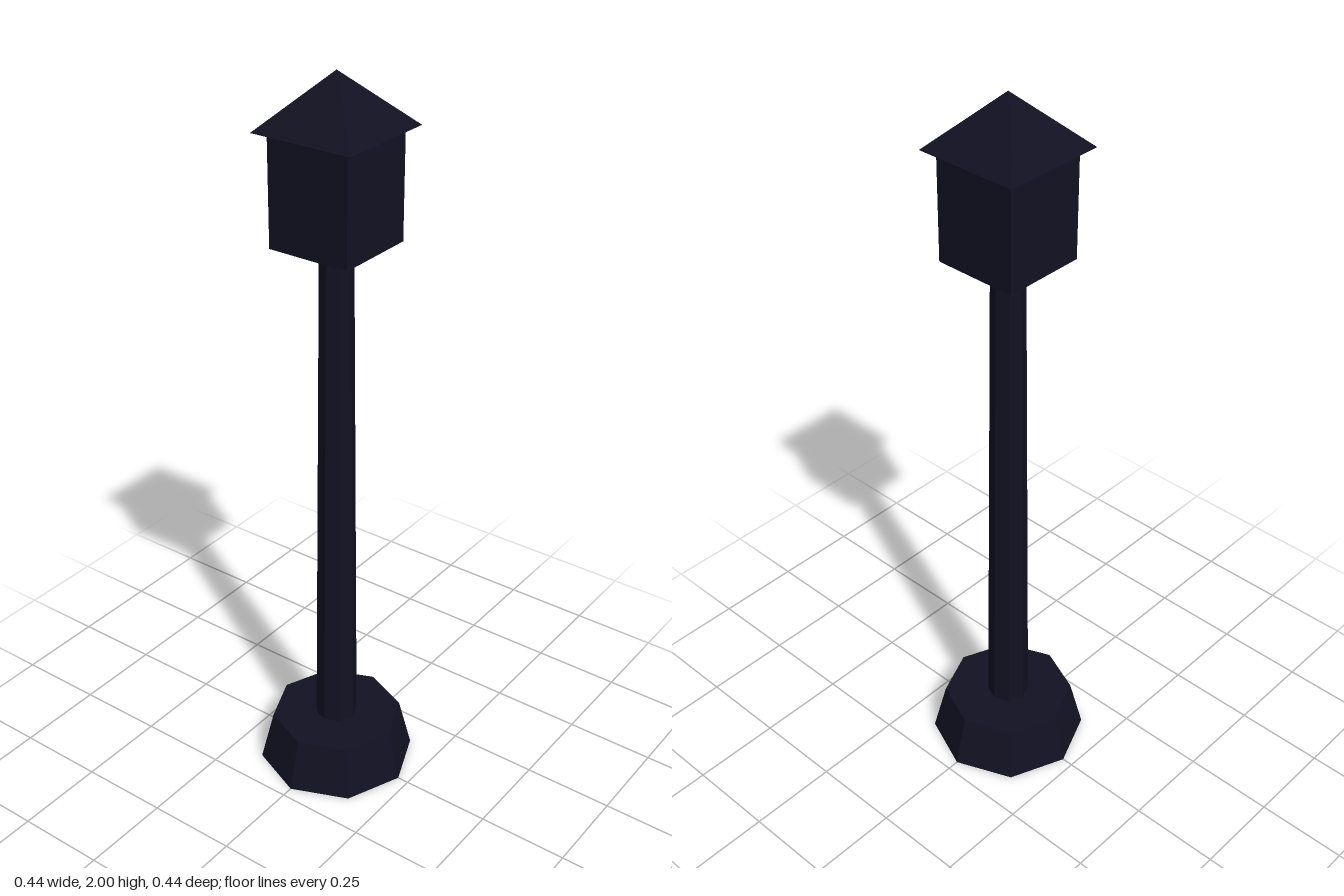
import * as THREE from 'three';

export function createModel() {
  const model = new THREE.Group();
  model.name = 'lampPost';
  const darkNavy = new THREE.MeshStandardMaterial({ color: 0x111122, flatShading: true });
  darkNavy.name = 'darkNavy';

  // Adds a part whose underside sits at height y
  function addPart(name, geometry, y, height) {
    const mesh = new THREE.Mesh(geometry, darkNavy);
    mesh.name = name;
    mesh.position.y = y + height / 2;
    model.add(mesh);
    return mesh;
  }

  // Tapered octagonal foot and slender pole
  addPart('base', new THREE.CylinderGeometry(0.182, 0.218, 0.145, 8), 0, 0.145);
  addPart('pole', new THREE.CylinderGeometry(0.0436, 0.058, 1.425, 8), 0.145, 1.425);

  // Square lantern with an overhanging pyramid roof
  addPart('lantern', new THREE.BoxGeometry(0.232, 0.29, 0.232), 1.57, 0.29);
  const roof = addPart('roof', new THREE.ConeGeometry(0.203, 0.14, 4), 1.86, 0.14);
  roof.rotation.y = Math.PI / 4;

  return model;
}
